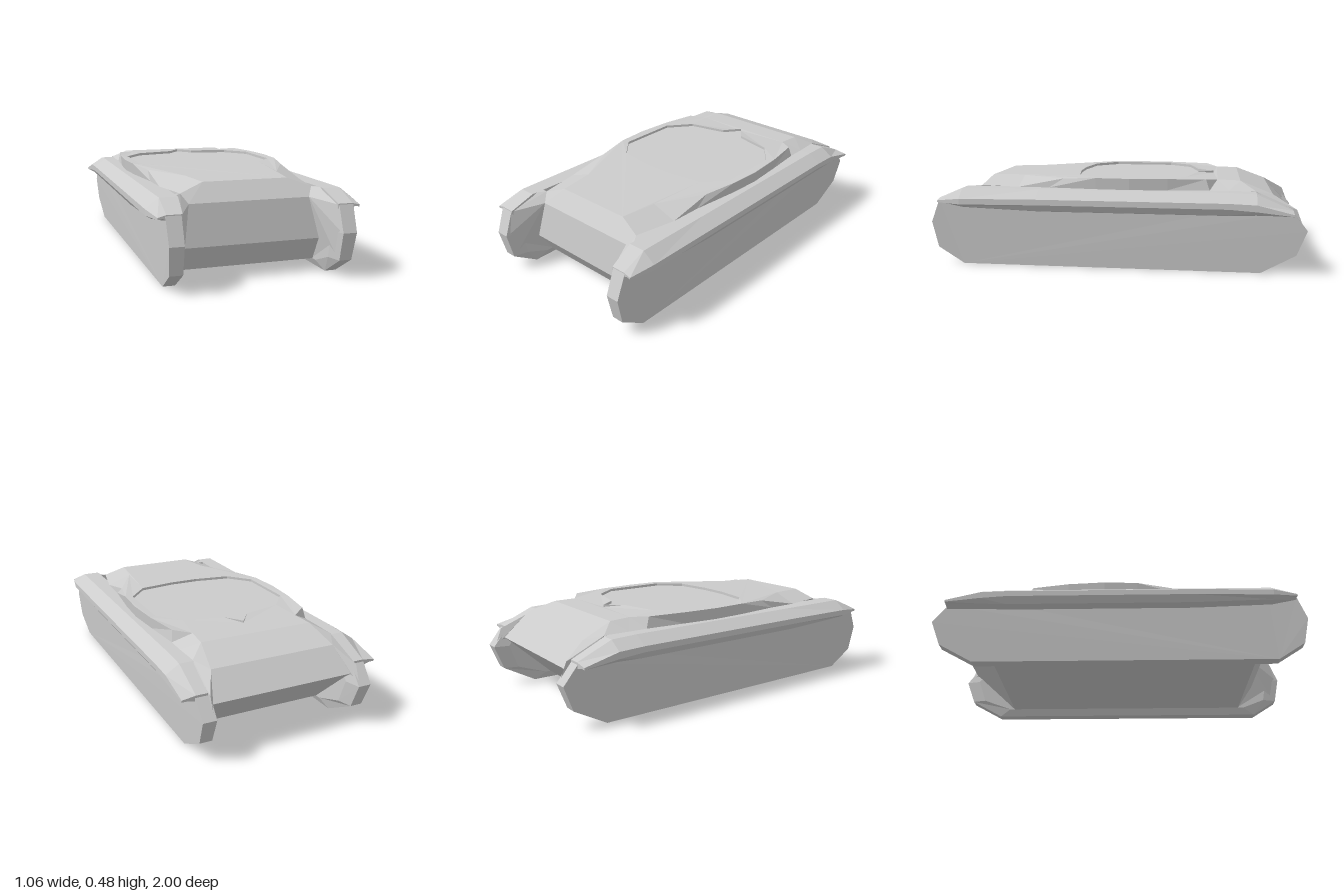
import * as THREE from 'three';
import { ConvexGeometry } from 'three/addons/geometries/ConvexGeometry.js';

const material = new THREE.MeshStandardMaterial({
  color: 0xcccccc, flatShading: true, side: THREE.DoubleSide,
});

function part(name, geometry) {
  const g = geometry.index ? geometry.toNonIndexed() : geometry;
  g.computeVertexNormals();
  const mesh = new THREE.Mesh(g, material);
  mesh.name = name;
  return mesh;
}

// Skin rows of [x, y, z] points; optionally close each row and cap both ends.
function loft(rows, closed = false) {
  const n = rows[0].length, index = [];
  for (let r = 0; r < rows.length - 1; r++) {
    for (let i = 0; i < (closed ? n : n - 1); i++) {
      const a = r * n + i, b = r * n + (i + 1) % n;
      index.push(a, b, a + n, b, b + n, a + n);
    }
  }
  if (closed) {
    const last = (rows.length - 1) * n;
    for (let i = 1; i < n - 1; i++) {
      index.push(0, i + 1, i, last, last + i, last + i + 1);
    }
  }
  const g = new THREE.BufferGeometry();
  g.setAttribute('position', new THREE.Float32BufferAttribute(rows.flat(2), 3));
  g.setIndex(index);
  return g;
}

const hull = (points) => new ConvexGeometry(points.map((p) => new THREE.Vector3(...p)));

// Deck edge from front to rear (left side), and the fender line below it
const deckEdge = [
  [0.22, 0.465, 0.72], [0.25, 0.468, 0.53], [0.385, 0.47, 0.28], [0.425, 0.48, 0.1],
  [0.435, 0.48, -0.08], [0.42, 0.48, -0.28], [0.385, 0.478, -0.48],
  [0.3, 0.468, -0.54], [0.31, 0.465, -0.66],
];
const fenderLine = [
  [0.34, 0.42, 0.75], [0.385, 0.42, 0.53], [0.39, 0.42, 0.36], [0.42, 0.42, 0.1],
  [0.43, 0.42, -0.08], [0.415, 0.42, -0.28], [0.395, 0.42, -0.5],
  [0.395, 0.42, -0.6], [0.39, 0.42, -0.74],
];

// Turret ring outline (x, z), with a notch at the rear centre
const ringHalf = [
  [0.08, 0.24], [0.28, 0.21], [0.385, 0.09], [0.385, -0.25], [0.28, -0.38], [0.07, -0.43],
];
const ring = [
  ...ringHalf, [0, -0.52], ...ringHalf.map(([x, z]) => [-x, z]).reverse(),
];
const ringFloor = 0.464;

function deck() {
  const outline = [...deckEdge, ...deckEdge.map(([x, y, z]) => [-x, y, z]).reverse()];
  const shape = new THREE.Shape(outline.map(([x, , z]) => new THREE.Vector2(x, -z)));
  shape.holes.push(new THREE.Path(ring.map(([x, z]) => new THREE.Vector2(x, -z))));
  const g = new THREE.ShapeGeometry(shape);
  g.rotateX(-Math.PI / 2);
  // Lift each corner to its edge height; ring corners sit at the crest
  const p = g.attributes.position;
  for (let i = 0; i < p.count; i++) {
    const x = p.getX(i), z = p.getZ(i);
    const edge = outline.find((o) => Math.hypot(o[0] - x, o[2] - z) < 1e-4);
    p.setY(i, edge ? edge[1] : z < -0.5 ? ringFloor + 0.002 : 0.478);
  }
  return g;
}

function ringRecess() {
  const rim = (y) => [...ring, ring[0]].map(([x, z]) => [x, y, z]);
  return loft([rim(0.478), rim(ringFloor)]);
}

function ringPlate() {
  const shape = new THREE.Shape(ring.map(([x, z]) => new THREE.Vector2(x, -z)));
  return new THREE.ShapeGeometry(shape).rotateX(-Math.PI / 2).translate(0, ringFloor, 0);
}

// Nose, belly and tail plates: half width, y, z
function hullPlates() {
  const profile = [
    [0.22, 0.465, 0.72], [0.31, 0.375, 0.79], [0.37, 0.17, 0.82], [0.38, 0.04, 0.73],
    [0.38, 0.04, -0.68], [0.385, 0.28, -0.94], [0.34, 0.4, -0.83], [0.31, 0.465, -0.66],
  ];
  return loft(profile.map(([w, y, z]) => [[-w, y, z], [w, y, z]]));
}

// Track run: side profile swept across its width, the inner edge set back
function track() {
  const profile = [
    [0.83, 0], [0.97, 0.09], [1, 0.23], [0.95, 0.36], [0.8, 0.4],
    [-0.8, 0.38], [-0.92, 0.33], [-1, 0.23], [-0.95, 0.1], [-0.77, 0],
  ];
  const section = (x, inset, lean) => profile.map(
    ([z, y]) => [x + lean * Math.min(y, 0.3), Math.max(y, inset * 0.5), z * (1 - inset)]);
  return loft([section(0.37, 0.08, 0), section(0.39, 0, 0), section(0.45, 0, 0.05)], true);
}

// Fender: z, inner x, outer x, top y, shoulder y, lip y, under y
function fender() {
  const stations = [
    [0.95, 0.385, 0.5, 0.365, 0.355, 0.345, 0.34],
    [0.82, 0.37, 0.525, 0.42, 0.37, 0.34, 0.315],
    [0.4, 0.36, 0.53, 0.42, 0.375, 0.345, 0.3],
    [-0.6, 0.36, 0.53, 0.42, 0.375, 0.345, 0.3],
    [-0.74, 0.38, 0.53, 0.415, 0.37, 0.335, 0.305],
    [-0.925, 0.39, 0.53, 0.335, 0.325, 0.315, 0.305],
  ];
  return loft(stations.map(([z, xi, xo, top, shoulder, lip, under]) => [
    [xi, top, z], [0.46, top, z], [xo, shoulder, z],
    [xo, lip, z], [xo - 0.025, under + 0.01, z], [0.46, under, z], [xi, under, z],
  ]), true);
}

export function createModel() {
  const model = new THREE.Group();
  model.name = 'trackedHull';
  model.add(
    part('hullPlates', hullPlates()),
    part('deck', deck()),
    part('turretRingWall', ringRecess()),
    part('turretRingPlate', ringPlate()),
  );

  for (const side of [1, -1]) {
    const half = new THREE.Group();
    half.name = side > 0 ? 'leftSide' : 'rightSide';
    const nose = [0.31, 0.375, 0.79], tail = [0.34, 0.4, -0.83];
    half.add(
      part('track', track()),
      part('fender', fender()),
      // Sloping shoulder between deck and fender, closed at nose and tail
      part('shoulder', loft([[nose, ...deckEdge, tail], [nose, ...fenderLine, tail]])),
      // Cheeks joining the hull plates to the track ends
      part('frontCheek', hull([
        [0.31, 0.375, 0.79], [0.34, 0.42, 0.75], [0.39, 0.42, 0.75], [0.39, 0.42, 0.82],
        [0.37, 0.17, 0.82], [0.37, 0.05, 0.74], [0.39, 0.05, 0.74],
        [0.39, 0.09, 0.96], [0.39, 0.23, 0.99], [0.39, 0.36, 0.95],
      ])),
      part('rearCheek', hull([
        [0.39, 0.42, -0.74], [0.34, 0.4, -0.83], [0.385, 0.28, -0.94], [0.4, 0.33, -0.95],
        [0.4, 0.23, -0.99], [0.4, 0.1, -0.9], [0.38, 0.1, -0.75], [0.4, 0.38, -0.8],
      ])),
    );
    half.scale.x = side;
    model.add(half);
  }
  return model;
}
